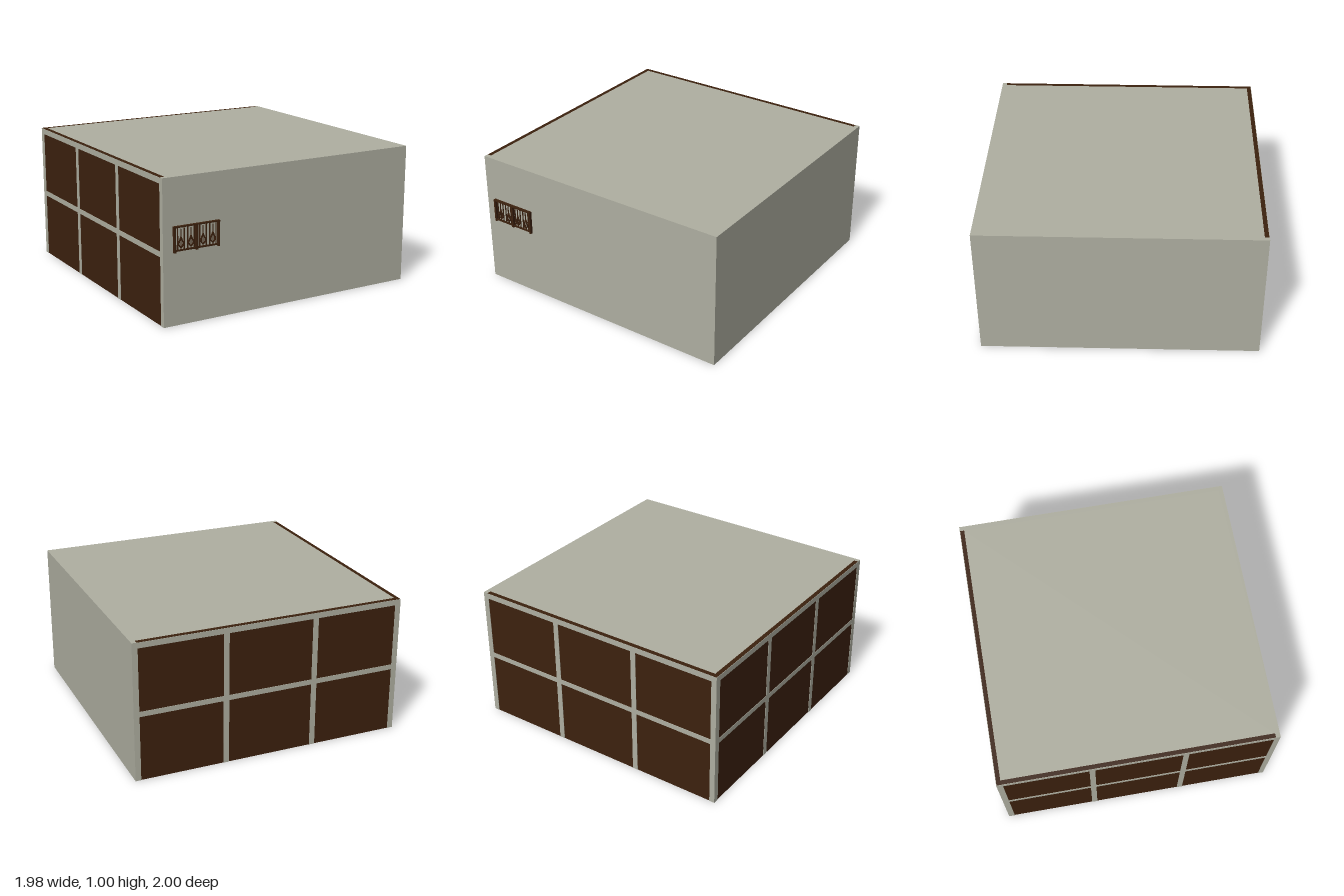
import * as THREE from 'three';

export function createModel() {
  const model = new THREE.Group();
  model.name = 'building';
  const plaster = new THREE.MeshStandardMaterial({ color: 0xafafa1 });
  plaster.name = 'warm grey plaster';
  const wood = new THREE.MeshStandardMaterial({ color: 0x3c210e });
  wood.name = 'dark brown wood';

  // Box given by its limits on each axis
  function block(parent, name, material, [x0, x1], [y0, y1], [z0, z1]) {
    const mesh = new THREE.Mesh(new THREE.BoxGeometry(x1 - x0, y1 - y0, z1 - z0), material);
    mesh.position.set((x0 + x1) / 2, (y0 + y1) / 2, (z0 + z1) / 2);
    mesh.name = name;
    parent.add(mesh);
    return mesh;
  }

  const W = 0.988, BACK = -1, FRONT = 0.978, T = 0.033, PROUD = 0.003;
  const ceiling = 0.965;

  // Plain walls and roof; the underside stays open
  block(model, 'frontWall', plaster, [-W, W], [0, 1], [FRONT - T, FRONT]);
  block(model, 'plainSideWall', plaster, [W - T, W], [0, 1], [BACK, FRONT - T]);
  block(model, 'roof', plaster, [-W + T, W - T], [ceiling, 1], [BACK + T, FRONT - T]);

  // Dark walls whose top edges show beside the roof
  block(model, 'backWall', wood, [-W + PROUD, W - T], [0, 1], [BACK + PROUD, BACK + T]);
  block(model, 'panelledSideWall', wood, [-W + PROUD, -W + T], [0, 1], [BACK + T, FRONT - T]);

  // Thin grey frames that divide each dark wall into 3 x 2 panels
  const bar = 0.04, top = 0.998;
  const rails = [[top - bar, top], [0.47, 0.507]];
  function frame(name, lo, hi, place) {
    const group = new THREE.Group();
    group.name = name;
    const third = (hi - lo) / 3;
    const stiles = [lo + bar / 2, lo + third, hi - third, hi - bar / 2]
      .map((c) => [c - bar / 2, c + bar / 2]);
    stiles.forEach((s) => place(group, 'stile', s, [0, top]));
    for (let i = 0; i < 3; i++) {
      rails.forEach((r) => place(group, 'rail', [stiles[i][1], stiles[i + 1][0]], r));
    }
    model.add(group);
  }
  frame('backFrame', -W, W, (g, n, s, y) => block(g, n, plaster, s, y, [BACK, BACK + PROUD]));
  frame('sideFrame', BACK + PROUD, FRONT, (g, n, s, y) => block(g, n, plaster, [-W, -W + PROUD], y, s));

  // Small ornamental railing on the front
  const railing = new THREE.Group();
  railing.name = 'railing';
  model.add(railing);
  for (const x of [-0.909, -0.745, -0.581]) {
    block(railing, 'railingPost', wood, [x - 0.007, x + 0.007], [0.5, 0.668], [FRONT, 0.998]);
  }
  block(railing, 'topRail', wood, [-0.917, -0.573], [0.667, 0.676], [FRONT, 1]);
  block(railing, 'bottomRail', wood, [-0.909, -0.581], [0.508, 0.518], [0.983, 0.994]);

  // Teardrop outline, tip upwards
  function drop(path, w, y0, y1) {
    const belly = y0 + (y1 - y0) * 0.4;
    path.moveTo(0, y0);
    path.bezierCurveTo(w * 0.7, y0, w, belly - 0.012, w, belly);
    path.quadraticCurveTo(w * 0.8, belly + 0.015, 0, y1);
    path.quadraticCurveTo(-w * 0.8, belly + 0.015, -w, belly);
    path.bezierCurveTo(-w, belly - 0.012, -w * 0.7, y0, 0, y0);
    return path;
  }
  const ring = drop(new THREE.Shape(), 0.019, 0.528, 0.61);
  ring.holes.push(drop(new THREE.Path(), 0.012, 0.537, 0.592));
  const ringGeometry = new THREE.ExtrudeGeometry(ring, { depth: 0.007, bevelEnabled: false, curveSegments: 6 });

  for (const x of [-0.862, -0.788, -0.698, -0.624]) {
    const ornament = new THREE.Mesh(ringGeometry, wood);
    ornament.name = 'teardropOrnament';
    ornament.position.set(x, 0, 0.985);
    railing.add(ornament);
    block(railing, 'ornamentStem', wood, [x - 0.003, x + 0.003], [0.516, 0.655], [0.986, 0.991]);
    for (const dx of [-0.024, 0.024]) {
      block(railing, 'baluster', wood, [x + dx - 0.003, x + dx + 0.003], [0.516, 0.668], [0.985, 0.991]);
    }
  }
  return model;
}
